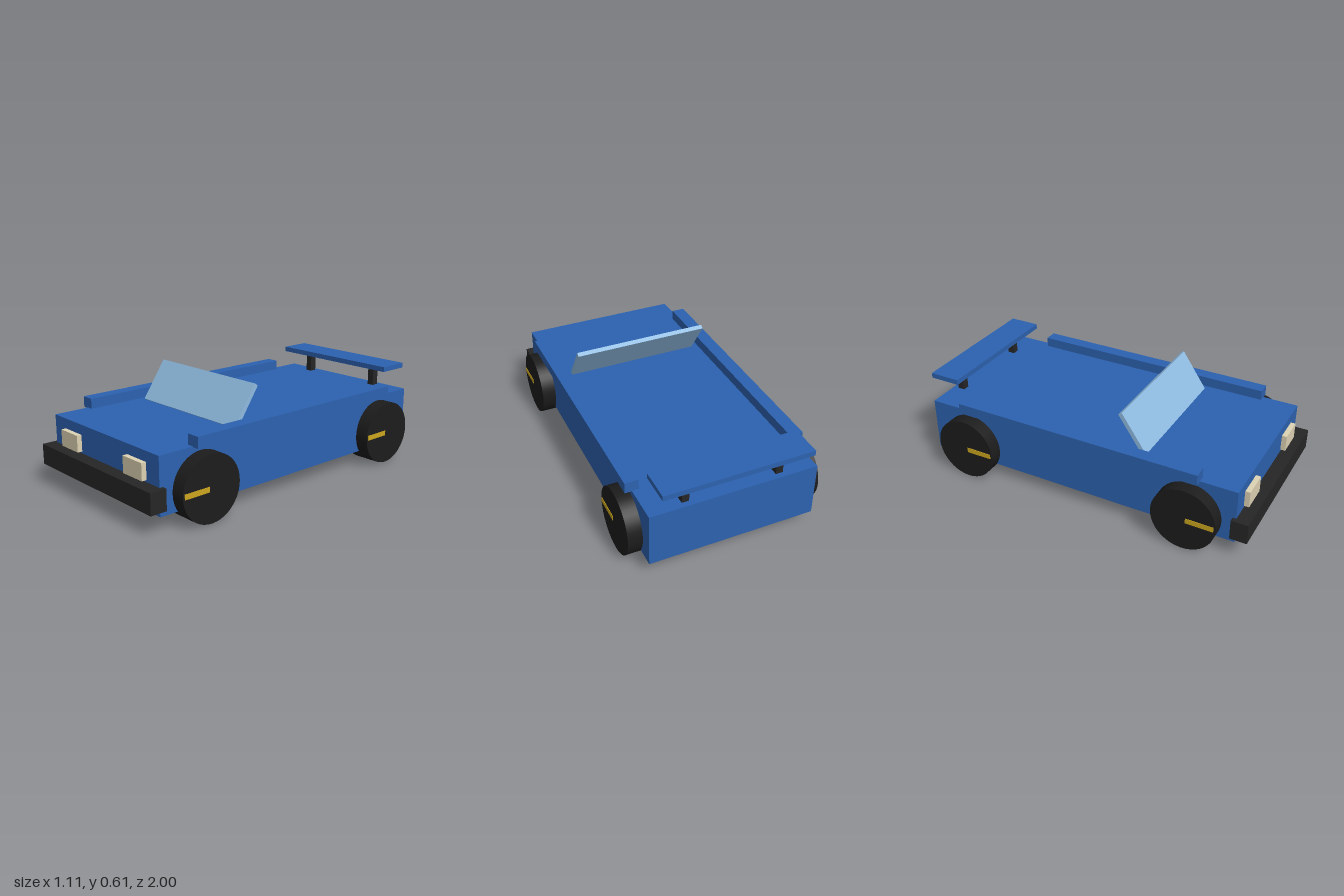
import * as THREE from 'three';

const paint = (color) => new THREE.MeshStandardMaterial({ color });

export function createModel() {
  const car = new THREE.Group();
  car.name = 'car';
  const blue = paint(0x2c62b0), dark = paint(0x262626), rubber = paint(0x1c1c1c);
  const cream = paint(0xded3b4), gold = paint(0xcca61f), glass = paint(0x8fbbe0);

  // Box given by its limits on each axis
  const box = (name, material, [x0, x1], [y0, y1], [z0, z1]) => {
    const mesh = new THREE.Mesh(new THREE.BoxGeometry(x1 - x0, y1 - y0, z1 - z0), material);
    mesh.position.set((x0 + x1) / 2, (y0 + y1) / 2, (z0 + z1) / 2);
    mesh.name = name;
    car.add(mesh);
    return mesh;
  };

  // Hull and front bumper
  box('body', blue, [-0.47, 0.47], [0.082, 0.394], [-0.96, 0.925]);
  box('frontBumper', dark, [-0.497, 0.497], [0.117, 0.233], [0.905, 1]);

  // Raked windshield
  const windshield = new THREE.Mesh(new THREE.BoxGeometry(0.786, 0.258, 0.025), glass);
  windshield.position.set(0, 0.4995, 0.295);
  windshield.rotation.x = -0.6;
  windshield.name = 'windshield';
  car.add(windshield);

  // Rear wing
  box('rearWing', blue, [-0.417, 0.417], [0.511, 0.541], [-1, -0.817]);

  // Wheel with its axle along x
  const tyre = new THREE.CylinderGeometry(0.183, 0.183, 0.157, 40).rotateZ(Math.PI / 2);

  for (const side of [-1, 1]) {
    const label = side > 0 ? 'left' : 'right';
    const span = (a, b) => (side > 0 ? [a, b] : [-b, -a]);

    box(label + 'SideRail', blue, span(0.432, 0.508), [0.39, 0.452], [-0.748, 0.717]);
    box(label + 'Headlight', cream, span(0.21, 0.367), [0.244, 0.337], [0.915, 0.953]);
    box(label + 'WingPost', dark, span(0.243, 0.283), [0.39, 0.515], [-0.928, -0.886]);

    for (const [end, z] of [['Front', 0.665], ['Rear', -0.7]]) {
      const wheel = new THREE.Mesh(tyre, rubber);
      wheel.position.set(side * 0.4715, 0.183, z);
      wheel.name = label + end + 'Wheel';
      car.add(wheel);
      // Spoke strip running forward from the hub
      box(label + end + 'WheelStrip', gold, span(0.54, 0.553), [0.17, 0.199], [z + 0.016, z + 0.172]);
    }
  }
  return car;
}
